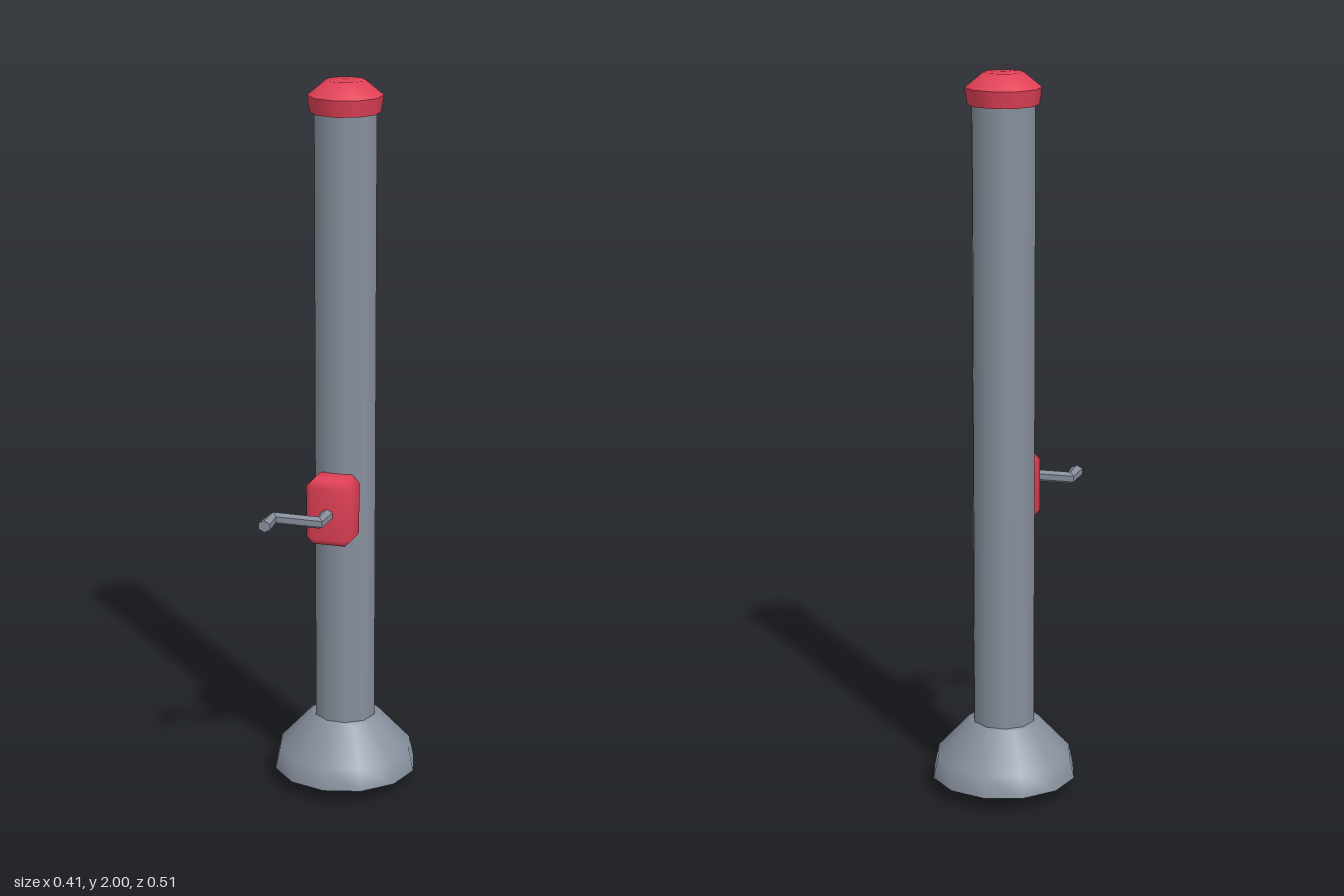
import * as THREE from 'three';
import { mergeVertices } from 'three/addons/utils/BufferGeometryUtils.js';
import { ConvexGeometry } from 'three/addons/geometries/ConvexGeometry.js';

const AXIS_Z = -0.052; // the post stands slightly behind the centre

// Box with chamfered edges and soft normals
function chamferedBox(w, h, d, c) {
  const points = [];
  for (const x of [-1, 1]) for (const y of [-1, 1]) for (const z of [-1, 1])
    for (let full = 0; full < 3; full++) {
      const half = [w / 2, h / 2, d / 2].map((s, i) => (i === full ? s : s - c));
      points.push(new THREE.Vector3(x * half[0], y * half[1], z * half[2]));
    }
  const geometry = new ConvexGeometry(points);
  geometry.deleteAttribute('normal');
  const soft = mergeVertices(geometry);
  soft.computeVertexNormals();
  return soft;
}

// Six-sided bar along a bent path in the horizontal plane, capped at both ends
function bentBar(path, radius) {
  const sides = 6, corners = [], index = [];
  path.forEach((p, i) => {
    const dirIn = path[Math.max(i, 1)].clone().sub(path[Math.max(i, 1) - 1]).normalize();
    const n = Math.min(i, path.length - 2);
    const dirOut = path[n + 1].clone().sub(path[n]).normalize();
    const along = dirIn.add(dirOut).normalize();
    const up = new THREE.Vector3(0, 1, 0);
    const side = new THREE.Vector3().crossVectors(up, along);
    for (let s = 0; s < sides; s++) {
      const a = (s / sides) * Math.PI * 2;
      const v = p.clone().addScaledVector(up, Math.cos(a) * radius * 0.95)
        .addScaledVector(side, Math.sin(a) * radius * 1.1);
      corners.push(v.x, v.y, v.z);
    }
  });
  for (let i = 0; i < path.length - 1; i++)
    for (let s = 0; s < sides; s++) {
      const a = i * sides + s, b = i * sides + (s + 1) % sides;
      index.push(a, a + sides, b, b, a + sides, b + sides);
    }
  const last = (path.length - 1) * sides;
  for (let s = 1; s < sides - 1; s++) {
    index.push(0, s, s + 1);
    index.push(last, last + s + 1, last + s);
  }
  const geometry = new THREE.BufferGeometry();
  geometry.setAttribute('position', new THREE.Float32BufferAttribute(corners, 3));
  geometry.setIndex(index);
  const flat = geometry.toNonIndexed();
  flat.computeVertexNormals();
  return flat;
}

export function createModel() {
  const grey = new THREE.MeshStandardMaterial({ color: 0x868f9c });
  grey.name = 'steelGrey';
  const red = new THREE.MeshStandardMaterial({ color: 0xe04056 });
  red.name = 'signalRed';

  const model = new THREE.Group();
  model.name = 'crankPost';
  const add = (name, geometry, material, x, y, z, parent = model) => {
    const mesh = new THREE.Mesh(geometry, material);
    mesh.name = name;
    mesh.position.set(x, y, z);
    parent.add(mesh);
    return mesh;
  };
  const lathe = (points, sides) =>
    new THREE.LatheGeometry(points.map(([r, y]) => new THREE.Vector2(r, y)), sides);

  // Post
  const post = add('post', new THREE.CylinderGeometry(0.087, 0.087, 1.94, 10), grey, 0, 0.97, AXIS_Z);
  post.rotation.y = Math.PI / 10;

  // Flared foot with a flat underside
  add('footFlare', lathe([[0.203, 0.04], [0.19, 0.1], [0.1, 0.198], [0.08, 0.2]], 12), grey, 0, 0, AXIS_Z);
  const underside = add('footUnderside', new THREE.CircleGeometry(0.203, 12), grey, 0, 0.04, AXIS_Z);
  underside.rotation.x = Math.PI / 2;

  // Cap: flared rim below a low dome
  add('capRim', new THREE.CylinderGeometry(0.102, 0.095, 0.045, 10), red, 0, 1.9375, AXIS_Z);
  add('capDome', lathe([[0.102, 1.96], [0.053, 2], [0, 2]], 10), red, 0, 0, AXIS_Z);

  // Gear housing on the front of the post
  add('gearHousing', chamferedBox(0.13, 0.185, 0.108, 0.02), red, 0, 0.8425, 0.061);

  // Crank handle
  const path = [[0, 0.1], [0, 0.18], [-0.131, 0.18], [-0.131, 0.254]]
    .map(([x, z]) => new THREE.Vector3(x, 0, z));
  add('crankHandle', bentBar(path, 0.0175), grey, 0, 0.843, 0);

  return model;
}
